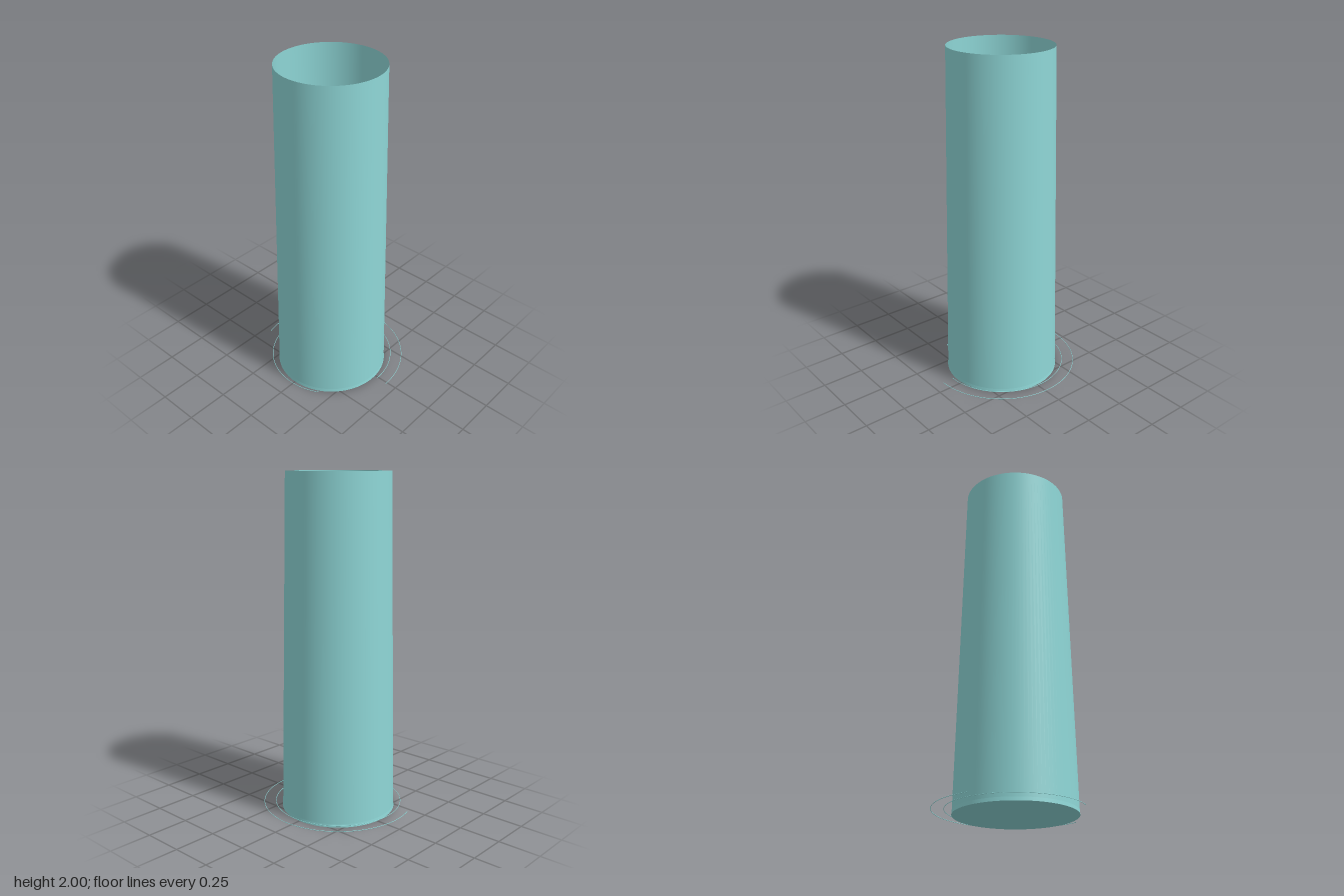
import * as THREE from 'three';

const CZ = 0.035; // common axis of base, tube and arcs

// Smooth closed skin through elliptical level sections [x, y, z, rx, rz], listed bottom to top
function loft(rows, side = 1, steps = 28, n = 24) {
  const centres = new THREE.CatmullRomCurve3(rows.map(r => new THREE.Vector3(r[0] * side, r[1], r[2])));
  const radii = new THREE.CatmullRomCurve3(rows.map(r => new THREE.Vector3(r[3], r[4], 0)));
  const pos = [], idx = [];
  for (let i = 0; i <= steps; i++) {
    const c = centres.getPoint(i / steps), r = radii.getPoint(i / steps);
    for (let j = 0; j < n; j++) {
      const a = (j / n) * Math.PI * 2;
      pos.push(c.x + Math.max(r.x, 0.001) * Math.cos(a), c.y, c.z + Math.max(r.y, 0.001) * Math.sin(a));
      if (i < steps) {
        const p = i * n + j, q = i * n + (j + 1) % n;
        idx.push(p, p + n, q, q, p + n, q + n);
      }
    }
  }
  const g = new THREE.BufferGeometry();
  g.setAttribute('position', new THREE.Float32BufferAttribute(pos, 3));
  g.setIndex(idx);
  g.computeVertexNormals();
  return g;
}

export function createModel() {
  const model = new THREE.Group();
  const color = 0x8ed6d6;
  const teal = new THREE.MeshStandardMaterial({ color, side: THREE.DoubleSide });
  teal.name = 'paleTeal';

  function add(parent, name, geometry, x = 0, y = 0, z = 0) {
    const mesh = new THREE.Mesh(geometry, teal);
    mesh.name = name;
    mesh.position.set(x, y, z);
    parent.add(mesh);
    return mesh;
  }
  const ball = (parent, name, r, x, y, z, sx = 1, sy = 1, sz = 1) => {
    const m = add(parent, name, new THREE.SphereGeometry(r, 24, 16), x, y, z);
    m.scale.set(sx, sy, sz);
    return m;
  };

  // Base disc and open, tapering tube
  add(model, 'base', new THREE.CylinderGeometry(0.338, 0.34, 0.02, 96), 0, 0.01, CZ);
  add(model, 'tube', new THREE.CylinderGeometry(0.3, 0.338, 1.98, 96, 1, true), 0, 1.01, CZ);

  // Thin floating arcs, each with its sweep in degrees
  for (const [r, sweep] of [[0.212, 360], [0.26, 246], [0.38, 300], [0.45, 197]]) {
    const arc = new THREE.TorusGeometry(r, 0.0016, 6, 120, THREE.MathUtils.degToRad(sweep));
    add(model, 'arc', arc.rotateX(-Math.PI / 2), 0, 0.03, CZ);
  }

  // Dial ticks round the floor
  const dial = new THREE.Group();
  dial.name = 'dialTicks';
  dial.position.set(0, 0.022, CZ);
  model.add(dial);
  for (let i = 0; i < 72; i++) {
    const a = (i / 72) * Math.PI * 2, len = i % 6 ? 0.008 : 0.016;
    const tick = add(dial, 'tick', new THREE.BoxGeometry(len, 0.003, 0.002),
      Math.cos(a) * (0.296 - len / 2), 0, -Math.sin(a) * (0.296 - len / 2));
    tick.rotation.y = a;
  }

  // Standing figure
  const figure = new THREE.Group();
  figure.name = 'figure';
  model.add(figure);
  add(figure, 'torso', loft([
    [0, 0.5, 0.03, 0.03, 0.03], [0, 0.55, 0.025, 0.095, 0.062], [0, 0.62, 0.027, 0.098, 0.062],
    [0, 0.7, 0.033, 0.083, 0.052], [0, 0.79, 0.032, 0.102, 0.064], [0, 0.87, 0.026, 0.118, 0.066],
    [0, 0.92, 0.022, 0.108, 0.05], [0, 0.95, 0.02, 0.055, 0.036], [0, 0.965, 0.02, 0.02, 0.02]]));
  add(figure, 'neck', new THREE.CylinderGeometry(0.032, 0.038, 0.1, 24), 0, 0.965, 0.022);
  add(figure, 'head', loft([
    [0, 0.975, 0.058, 0.006, 0.008], [0, 0.985, 0.05, 0.027, 0.032], [0, 1.015, 0.037, 0.041, 0.049],
    [0, 1.06, 0.029, 0.049, 0.059], [0, 1.1, 0.026, 0.043, 0.052], [0, 1.122, 0.025, 0.022, 0.028],
    [0, 1.127, 0.025, 0.001, 0.001]]));
  ball(figure, 'nose', 0.009, 0, 1.036, 0.087, 0.8, 1.5, 1);
  add(figure, 'belt', new THREE.CylinderGeometry(0.097, 0.1, 0.025, 40), 0, 0.625, 0.028).scale.z = 0.66;

  for (const s of [1, -1]) {
    const side = new THREE.Group();
    side.name = s > 0 ? 'leftSide' : 'rightSide';
    figure.add(side);
    // Trunk shapes
    ball(side, 'chest', 0.05, s * 0.05, 0.845, 0.068, 1, 0.9, 0.65);
    ball(side, 'shoulderBlade', 0.055, s * 0.052, 0.86, -0.017, 1, 1.25, 0.6);
    ball(side, 'buttock', 0.053, s * 0.045, 0.555, -0.007, 1, 1.05, 0.85);
    ball(side, 'ear', 0.013, s * 0.049, 1.045, 0.025, 0.5, 1.2, 0.9);
    const collar = add(side, 'collar', new THREE.CapsuleGeometry(0.009, 0.075, 4, 10), s * 0.06, 0.925, 0.064);
    collar.rotation.set(0, s * 0.25, Math.PI / 2 + s * 0.12);
    // Arm
    ball(side, 'shoulder', 0.042, s * 0.128, 0.89, 0.03, 1, 1, 0.95);
    add(side, 'arm', loft([
      [0.198, 0.585, 0.045, 0.014, 0.018], [0.194, 0.63, 0.042, 0.018, 0.021], [0.184, 0.7, 0.034, 0.026, 0.027],
      [0.171, 0.755, 0.029, 0.026, 0.027], [0.156, 0.82, 0.028, 0.033, 0.034], [0.137, 0.88, 0.029, 0.037, 0.038],
      [0.122, 0.922, 0.03, 0.014, 0.016]], s));
    add(side, 'cuff', new THREE.CylinderGeometry(0.023, 0.021, 0.03, 20), s * 0.194, 0.635, 0.042);
    add(side, 'hand', loft([
      [0.2, 0.5, 0.066, 0.004, 0.007], [0.203, 0.525, 0.062, 0.009, 0.018], [0.204, 0.555, 0.055, 0.011, 0.023],
      [0.199, 0.59, 0.046, 0.012, 0.018], [0.197, 0.605, 0.045, 0.008, 0.01]], s));
    const thumb = add(side, 'thumb', new THREE.CapsuleGeometry(0.006, 0.03, 4, 10), s * 0.196, 0.552, 0.077);
    thumb.rotation.x = -0.4;
    // Leg and foot
    add(side, 'leg', loft([
      [0.076, 0.05, 0.022, 0.025, 0.028], [0.075, 0.12, 0.02, 0.027, 0.031], [0.073, 0.22, 0.014, 0.036, 0.042],
      [0.068, 0.32, 0.026, 0.035, 0.038], [0.06, 0.42, 0.029, 0.047, 0.052], [0.053, 0.52, 0.027, 0.053, 0.061],
      [0.048, 0.58, 0.027, 0.045, 0.05]], s));
    add(side, 'foot', loft([
      [0.076, 0.02, 0.064, 0.024, 0.07], [0.077, 0.032, 0.064, 0.028, 0.074], [0.077, 0.05, 0.054, 0.027, 0.06],
      [0.076, 0.075, 0.032, 0.027, 0.037], [0.076, 0.105, 0.022, 0.026, 0.03]], s));
    ball(side, 'toeCap', 0.027, s * 0.077, 0.041, 0.111, 1, 0.75, 1);
  }
  return model;
}
